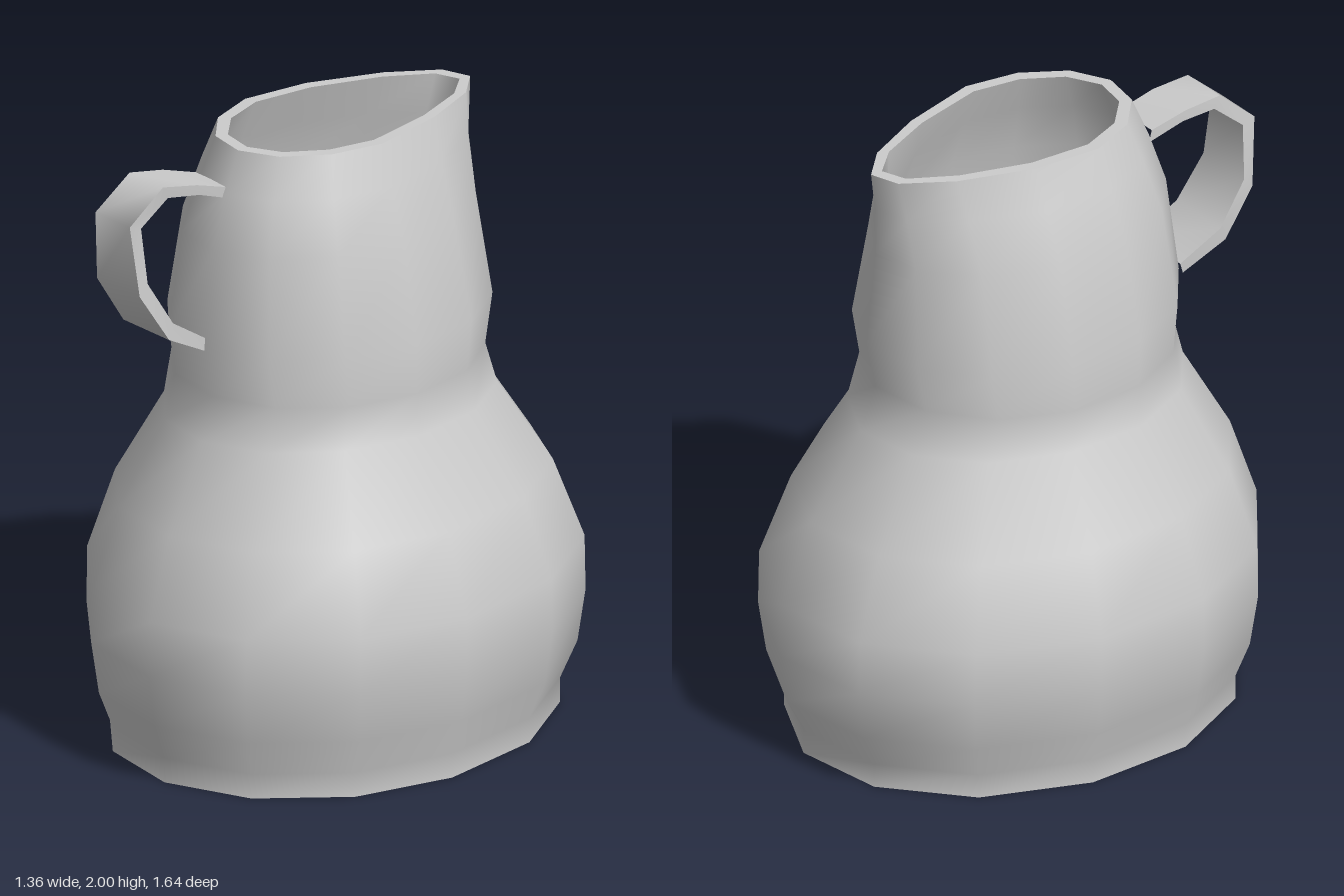
import * as THREE from 'three';

const SIDES = 13;
const WALL = 0.04;

// Surface through a series of point rows; closed rows wrap around.
function loft(rows, closed) {
  const n = rows[0].length, index = [];
  for (let i = 0; i < rows.length - 1; i++) {
    for (let k = 0; k < (closed ? n : n - 1); k++) {
      const a = i * n + k, b = i * n + (k + 1) % n;
      index.push(a, a + n, b, b, a + n, b + n);
    }
  }
  const g = new THREE.BufferGeometry();
  g.setAttribute('position', new THREE.Float32BufferAttribute(rows.flat(2), 3));
  g.setIndex(index);
  g.computeVertexNormals();
  return g;
}

// Slightly irregular oval; spout (0..1) pinches the back into a point.
function ring([y, rx, front, back, spout = 0], inset = 0) {
  const cz = 0.05, pts = [];
  for (let k = 0; k < SIDES; k++) {
    const t = (k / SIDES) * Math.PI * 2, c = Math.cos(t), s = Math.sin(t);
    const pinch = 1 + 0.3 * spout * Math.min(s, 0);
    const x = (rx - inset) * c * pinch * (c < 0 ? 1.035 : 1);
    const z = cz + s * (s > 0 ? front - inset - cz : cz - back - inset);
    pts.push([x, y, z]);
  }
  return pts;
}

export function createModel() {
  const model = new THREE.Group();
  const material = new THREE.MeshStandardMaterial({ color: 0xcccccc });
  const add = (name, rows, closed, parent = model) => {
    const mesh = new THREE.Mesh(loft(rows, closed), material);
    mesh.name = name;
    parent.add(mesh);
  };

  // Jug profile: height, half width, front z, back z, spout amount
  const profile = [
    [0, 0.61, 0.76, -0.74],
    [0.08, 0.61, 0.76, -0.74],
    [0.2, 0.655, 0.805, -0.8],
    [0.37, 0.68, 0.83, -0.825],
    [0.55, 0.68, 0.825, -0.82],
    [0.81, 0.595, 0.74, -0.715],
    [1.08, 0.445, 0.59, -0.53],
    [1.22, 0.44, 0.55, -0.475],
    [1.38, 0.44, 0.575, -0.51],
    [1.7, 0.38, 0.54, -0.485, 0.4],
    [1.87, 0.32, 0.485, -0.495, 0.75],
    [2, 0.275, 0.43, -0.515, 1],
  ];
  const outer = profile.map((p) => ring(p));
  const inner = profile.map((p) => ring(p, WALL)).reverse();
  inner[inner.length - 1].forEach((p) => { p[1] = WALL; });
  const centre = (y) => Array.from({ length: SIDES }, () => [0, y, 0]);

  add('outerWall', outer, true);
  add('innerWall', inner, true);
  add('rim', [outer[outer.length - 1], inner[0]], true);
  add('base', [centre(0), outer[0]], true);
  add('innerFloor', [inner[inner.length - 1], centre(WALL)], true);

  // Strap handle: outer z, y, inner z, y, left edge x, right edge x
  const stations = [
    [0.46, 1.885, 0.45, 1.845, -0.13, 0.03],
    [0.58, 1.92, 0.57, 1.885, -0.145, 0.02],
    [0.7, 1.937, 0.68, 1.897, -0.16, 0.0],
    [0.82, 1.83, 0.775, 1.815, -0.18, -0.015],
    [0.797, 1.6, 0.765, 1.635, -0.2, 0.005],
    [0.7, 1.44, 0.68, 1.485, -0.19, 0.03],
    [0.55, 1.365, 0.54, 1.4, -0.17, 0.045],
  ].map(([zo, yo, zi, yi, l, r]) => [[l, yo, zo], [r, yo, zo], [r, yi, zi], [l, yi, zi]]);
  const handle = new THREE.Group();
  handle.name = 'handle';
  ['outerFace', 'leftEdge', 'innerFace', 'rightEdge'].forEach((name, j) => {
    add(name, stations.map((s) => [s[j], s[(j + 1) % 4]]), false, handle);
  });
  model.add(handle);

  return model;
}
